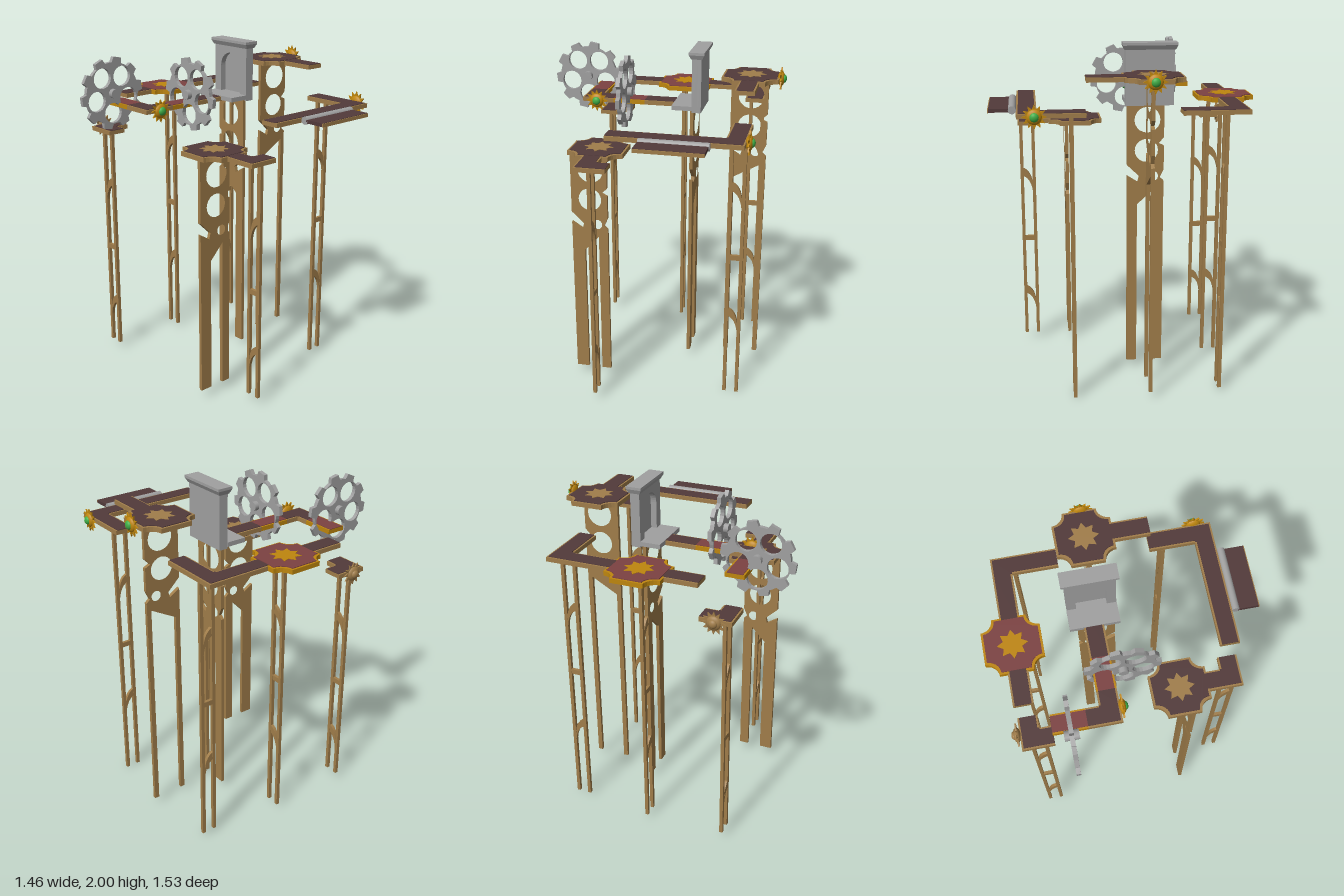
import * as THREE from 'three';

const mat = (name, color, side = THREE.FrontSide) => {
  const m = new THREE.MeshStandardMaterial({ color, side });
  m.name = name;
  return m;
};

export function createModel() {
  const root = new THREE.Group();
  root.name = 'walkwayTower';
  const bronze = mat('bronze', 0xa07d4a), dark = mat('darkBrown', 0x523a3a), red = mat('red', 0x7c4242);
  const gold = mat('gold', 0xbe860e), grey = mat('grey', 0xa0a0a0), green = mat('green', 0x3fae45);

  const add = (parent, name, geo, material, x = 0, y = 0, z = 0) => {
    const m = new THREE.Mesh(geo, material);
    m.name = name;
    m.position.set(x, y, z);
    parent.add(m);
    return m;
  };
  const group = (name, x = 0, y = 0, z = 0, ry = 0) => {
    const g = new THREE.Group();
    g.name = name;
    g.position.set(x, y, z);
    g.rotation.y = ry;
    root.add(g);
    return g;
  };
  const box = (parent, name, material, x0, x1, y0, y1, z0, z1) =>
    add(parent, name, new THREE.BoxGeometry(x1 - x0, y1 - y0, z1 - z0), material, (x0 + x1) / 2, (y0 + y1) / 2, (z0 + z1) / 2);
  const poly = pts => new THREE.Shape(pts.map(p => new THREE.Vector2(...p)));
  const hole = (x, y, r) => new THREE.Path().absarc(x, y, r, 0, Math.PI * 2, true);
  // Extrusion centred on its own depth
  const slab = (shape, depth) =>
    new THREE.ExtrudeGeometry(shape, { depth, bevelEnabled: false, curveSegments: 10 }).translate(0, 0, -depth / 2);
  const starShape = (n, rOut, rIn) => {
    const pts = [];
    for (let i = 0; i < n * 2; i++) {
      const a = (i / n) * Math.PI + Math.PI / 2, r = i % 2 ? rIn : rOut;
      pts.push([Math.cos(a) * r, Math.sin(a) * r]);
    }
    return poly(pts);
  };

  // Walkway section: rimmed slab with an inlaid top; insets are left, right, back, front
  const H = 0.025, MID = 1.65, LOW = 1.46, HIGH = 1.835;
  const walk = (y, x0, x1, z0, z1, [l, r, b, f], rim = bronze, top = dark) => {
    const e = 0.01, g = group('walkway');
    box(g, 'walkwaySlab', rim, x0, x1, y, y + H, z0, z1);
    box(g, 'walkwayInlay', top, x0 + l * e, x1 - r * e, y + H, y + H + 0.003, z0 + b * e, z1 - f * e);
  };
  walk(MID, -0.29, -0.08, -0.65, -0.54, [0, 0, 1, 1]);
  walk(MID, 0.2, 0.48, -0.65, -0.54, [0, 0, 1, 1]);
  walk(MID, 0.48, 0.59, -0.65, -0.54, [0, 1, 1, 0]);
  walk(MID, 0.48, 0.59, -0.54, -0.28, [1, 1, 0, 0]);
  walk(HIGH, 0.48, 0.59, 0.03, 0.24, [1, 1, 0, 0]);
  walk(MID, 0.48, 0.59, 0.24, 0.5, [1, 1, 0, 0]);
  walk(MID, 0.48, 0.59, 0.5, 0.61, [0, 1, 0, 1]);
  walk(MID, -0.155, 0.48, 0.5, 0.61, [0, 0, 1, 1]);
  walk(LOW, -0.335, -0.225, 0.4, 0.5, [1, 1, 0, 0]);
  walk(LOW, -0.335, -0.225, 0.5, 0.61, [1, 0, 0, 1]);
  walk(LOW, -0.225, -0.155, 0.5, 0.61, [0, 0, 1, 1]);
  walk(LOW, -0.48, -0.37, -0.65, -0.54, [1, 0, 1, 0]);
  walk(LOW, -0.37, -0.295, -0.65, -0.54, [0, 0, 1, 1]);
  walk(LOW, -0.48, -0.37, -0.54, -0.47, [1, 1, 0, 0]);
  walk(MID, -0.48, -0.37, -0.47, -0.28, [1, 1, 0, 0], gold, red);
  walk(MID, -0.48, -0.37, -0.28, -0.205, [1, 1, 0, 0]);
  walk(MID, -0.48, -0.37, -0.205, -0.095, [1, 0, 0, 1]);
  walk(MID, -0.37, -0.29, -0.205, -0.095, [0, 0, 1, 1]);
  walk(MID, -0.29, -0.1, -0.205, -0.095, [0, 0, 1, 1], gold, red);
  walk(MID, -0.1, 0.22, -0.205, -0.095, [0, 0, 1, 1]);

  // Square platforms with scooped corners and a sun emblem
  const scooped = (h, r) => {
    const s = new THREE.Shape();
    for (let k = 0; k < 4; k++) {
      const a = k * Math.PI / 2 + Math.PI / 4, cx = Math.sign(Math.cos(a)) * h, cy = Math.sign(Math.sin(a)) * h;
      for (let i = 0; i <= 6; i++) {
        const t = k * Math.PI / 2 + Math.PI * 1.5 - i / 6 * Math.PI / 2;
        const p = [cx + r * Math.cos(t), cy + r * Math.sin(t)];
        k || i ? s.lineTo(...p) : s.moveTo(...p);
      }
    }
    return s;
  };
  const platform = (x, y, z, rim, top) => {
    const g = group('platform', x, y, z);
    const layer = (name, shape, d, material, cy) =>
      add(g, name, slab(shape, d).rotateX(-Math.PI / 2), material, 0, cy, 0);
    layer('platformRim', scooped(0.162, 0.068), 0.026, rim, 0.013);
    layer('platformInlay', scooped(0.15, 0.068), 0.004, top, 0.028);
    layer('sunEmblem', starShape(8, 0.085, 0.054), 0.003, rim, 0.031);
  };
  platform(0.06, MID, -0.6, gold, red);
  platform(0.53, HIGH, -0.12, bronze, dark);
  platform(-0.285, LOW, 0.258, bronze, dark);

  // Hinged flap and its roller
  box(root, 'flap', dark, 0.035, 0.41, 1.652, 1.672, 0.645, 0.76);
  box(root, 'flapEdge', bronze, 0.035, 0.41, 1.65, 1.67, 0.76, 0.765);
  add(root, 'roller', new THREE.CylinderGeometry(0.022, 0.022, 0.38, 20).rotateZ(Math.PI / 2), grey, 0.225, 1.664, 0.632);

  // Pierced support panels: arch holes, broken edges and two long legs
  const panel = (name, x, top, z, ry, bottom, lw, rw) => {
    const h = bottom - top, w = 0.108;
    const s = poly([[-w, 0], [-w, -0.36], [-0.035, -0.43], [-0.045, -0.465], [-w, -0.425], [-w, h], [-w + lw, h],
      [-w + lw, -0.6], [w - rw, -0.51], [w - rw, h], [w, h], [w, -0.46], [0.085, -0.44], [w, -0.39],
      [w, -0.25], [0.075, -0.235], [w, -0.2], [w, 0]].reverse());
    s.holes.push(hole(0.01, -0.095, 0.075), hole(0.005, -0.275, 0.068), hole(0.045, -0.43, 0.03));
    add(group(name, x, top, z, ry), 'piercedPanel', slab(s, 0.02), bronze);
  };
  panel('lowSupport', -0.335, LOW, 0.31, 0, 0.055, 0.075, 0.055);
  panel('doorSupport', 0.2, MID, -0.125, Math.PI / 2, 0.045, 0.06, 0.06);
  panel('highSupport', 0.525, HIGH, -0.11, 0, 0.045, 0.028, 0.028);

  // Ladder supports: two rails, a rung and curved brackets
  const ladder = (x, top, z, ry, bottom) => {
    const g = group('ladderSupport', x, top, z, ry), w = 0.028, h = bottom - top;
    for (const s of [-1, 1]) box(g, 'rail', bronze, s * 0.037 - 0.01, s * 0.037 + 0.01, h, 0, -0.01, 0.01);
    box(g, 'rung', bronze, -w, w, -0.765, -0.735, -0.009, 0.009);
    for (const v of [-0.29, -1.08]) {
      const b = new THREE.Shape();
      b.moveTo(-w, v);
      b.lineTo(-w, v - 0.05);
      b.quadraticCurveTo(w * 0.7, v - 0.07, w, v - 0.16);
      b.lineTo(w, v - 0.1);
      b.quadraticCurveTo(w * 0.7, v - 0.02, -w, v);
      add(g, 'bracket', slab(b, 0.018), bronze);
    }
  };
  ladder(0.525, MID, 0.318, 0, 0);
  ladder(0.525, MID, -0.525, 0, 0.02);
  ladder(0.058, MID, -0.555, Math.PI / 2, 0.03);
  ladder(-0.25, LOW, 0.555, Math.PI / 2, 0.055);
  ladder(-0.425, LOW, -0.56, Math.PI / 2, 0.05);

  // Gears with five round openings
  const gear = (x, y, z, ry) => {
    const g = group('gear', x, y, z, ry), pts = [], n = 10;
    for (let i = 0; i < n; i++)
      for (const [o, r] of [[-0.3, 0.18], [-0.2, 0.21], [0.2, 0.21], [0.3, 0.18], [0.5, 0.18]]) {
        const a = (i + o) / n * Math.PI * 2 + 0.12;
        pts.push([r * Math.cos(a), r * Math.sin(a)]);
      }
    const s = poly(pts);
    for (let i = 0; i < 5; i++) {
      const a = -Math.PI / 2 + i * Math.PI * 0.4;
      s.holes.push(hole(0.115 * Math.cos(a), 0.115 * Math.sin(a), 0.059));
    }
    add(g, 'gearWheel', slab(s, 0.024), grey);
    add(g, 'gearHub', new THREE.CylinderGeometry(0.028, 0.028, 0.08, 10).rotateX(Math.PI / 2), grey);
  };
  gear(-0.52, 1.738, -0.372, 0);
  gear(-0.2, 1.738, -0.045, Math.PI / 2);

  // Sun ornaments on the walkway edges
  const ornament = (x, y, z, ry, metal, gem) => {
    const g = group('sunOrnament', x, y, z, ry);
    add(g, 'rays', slab(starShape(12, 0.066, 0.042), 0.008), metal);
    add(g, 'dome', new THREE.SphereGeometry(0.042, 20, 10).scale(1, 1, 0.5), metal);
    add(g, 'gem', new THREE.SphereGeometry(0.025, 18, 12).scale(1, 1, 0.7), gem, 0, 0, 0.014);
  };
  ornament(-0.39, 1.662, -0.083, 0, gold, green);
  ornament(0.7, 1.85, -0.11, Math.PI / 2, gold, green);
  ornament(0.604, 1.662, 0.515, Math.PI / 2, gold, green);
  ornament(-0.385, 1.475, -0.665, Math.PI, bronze, bronze);

  // Doorway: arched frame facing -x, back wall, step and flared cap
  const door = group('doorway', 0.2, 1.645, -0.142, -Math.PI / 2);
  const frame = poly([[-0.138, 0], [0.138, 0], [0.138, 0.32], [-0.138, 0.32]]);
  const arch = new THREE.Path();
  arch.moveTo(-0.085, 0.035);
  arch.lineTo(-0.085, 0.19);
  arch.absarc(0, 0.19, 0.085, Math.PI, 0, true);
  arch.lineTo(0.085, 0.035);
  frame.holes.push(arch);
  add(door, 'doorFrame', slab(frame, 0.035), grey, 0, 0, -0.0175);
  box(door, 'doorBack', grey, -0.138, 0.138, 0, 0.32, -0.055, -0.035);
  box(door, 'doorStep', grey, -0.14, 0.14, 0.01, 0.036, 0, 0.118);
  const cap = add(door, 'doorCap', new THREE.BoxGeometry(0.31, 0.025, 0.09), grey, 0, 0.3275, -0.0275);
  const p = cap.geometry.attributes.position;
  for (let i = 0; i < p.count; i++)
    if (p.getY(i) < 0) p.setXYZ(i, p.getX(i) * 0.93, p.getY(i), p.getZ(i) * 0.7);
  cap.geometry.computeVertexNormals();
  box(door, 'doorCapTop', grey, -0.155, 0.155, 0.34, 0.355, -0.0725, 0.0175);

  return root;
}
